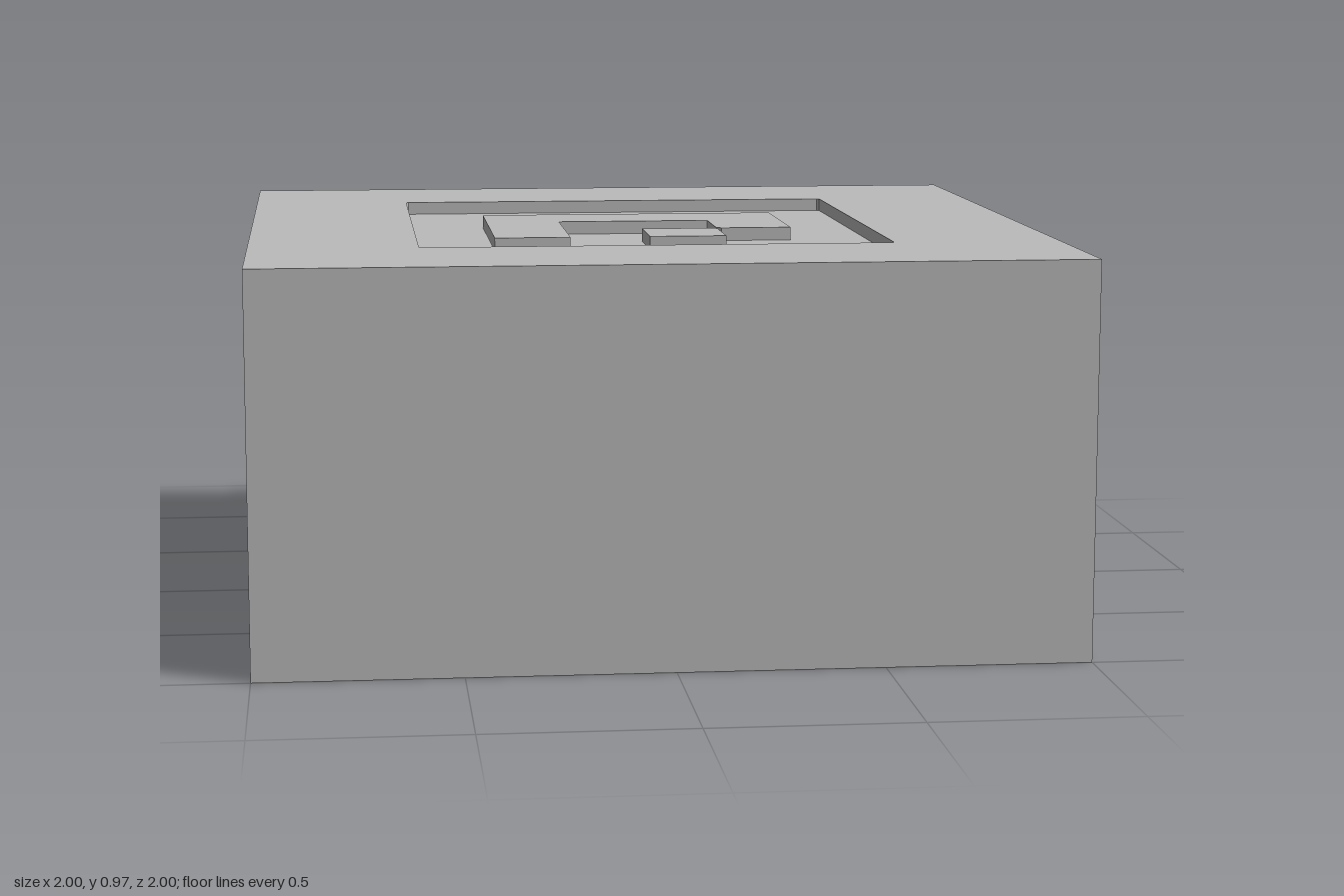
import * as THREE from 'three';

const HEIGHT = 0.97, SLAB_BOTTOM = 0.515, WALL = 0.145, RECESS = 0.033;
const FLOOR = HEIGHT - RECESS;

export function createModel() {
  const group = new THREE.Group();
  const grey = new THREE.MeshStandardMaterial({ color: 0xbbbbbb });
  grey.name = 'plain grey';

  const add = (name, geometry) => {
    const mesh = new THREE.Mesh(geometry, grey);
    mesh.name = name;
    group.add(mesh);
  };

  // Outline given as [x, z], raised from y = bottom to y = top
  const raise = (outline, bottom, top, hole) => {
    const points = (list) => list.map(([x, z]) => new THREE.Vector2(x, -z));
    const shape = new THREE.Shape(points(outline));
    if (hole) shape.holes.push(new THREE.Path(points(hole)));
    return new THREE.ExtrudeGeometry(shape, { depth: top - bottom, bevelEnabled: false })
      .rotateX(-Math.PI / 2)
      .translate(0, bottom, 0);
  };

  // Square with slightly clipped corners
  const clippedSquare = (r, c) => [
    [-r + c, r], [r - c, r], [r, r - c], [r, -r + c],
    [r - c, -r], [-r + c, -r], [-r, -r + c], [-r, r - c],
  ];
  const square = [[-1, 1], [1, 1], [1, -1], [-1, -1]];

  // Solid upper block: outer sides and rim, around a shallow square recess
  const recess = clippedSquare(0.585, 0.006);
  add('topRim', raise(square, FLOOR, HEIGHT, recess));
  add('upperBlock', raise(square, SLAB_BOTTOM, FLOOR));

  // L-shaped skirt under the front and the +x side
  const inner = 1 - WALL;
  add('cornerSkirt', raise(
    [[-1, 1], [1, 1], [1, -1], [inner, -1], [inner, inner], [-1, inner]], 0, SLAB_BOTTOM));

  // Raised hooked emblem in the recess, flush with the rim
  add('hookRelief', raise([
    [-0.39, 0.385], [-0.2, 0.385], [-0.2, -0.005], [0.193, -0.005], [0.193, 0.18],
    [0.205, 0.193], [0.385, 0.193], [0.385, -0.2], [-0.39, -0.2],
  ], FLOOR, HEIGHT));

  // Small raised square with its corner clipped beside the hook
  add('squareRelief', raise([
    [0, 0.385], [0.193, 0.385], [0.193, 0.205], [0.18, 0.193], [0, 0.193],
  ], FLOOR, HEIGHT));

  return group;
}
